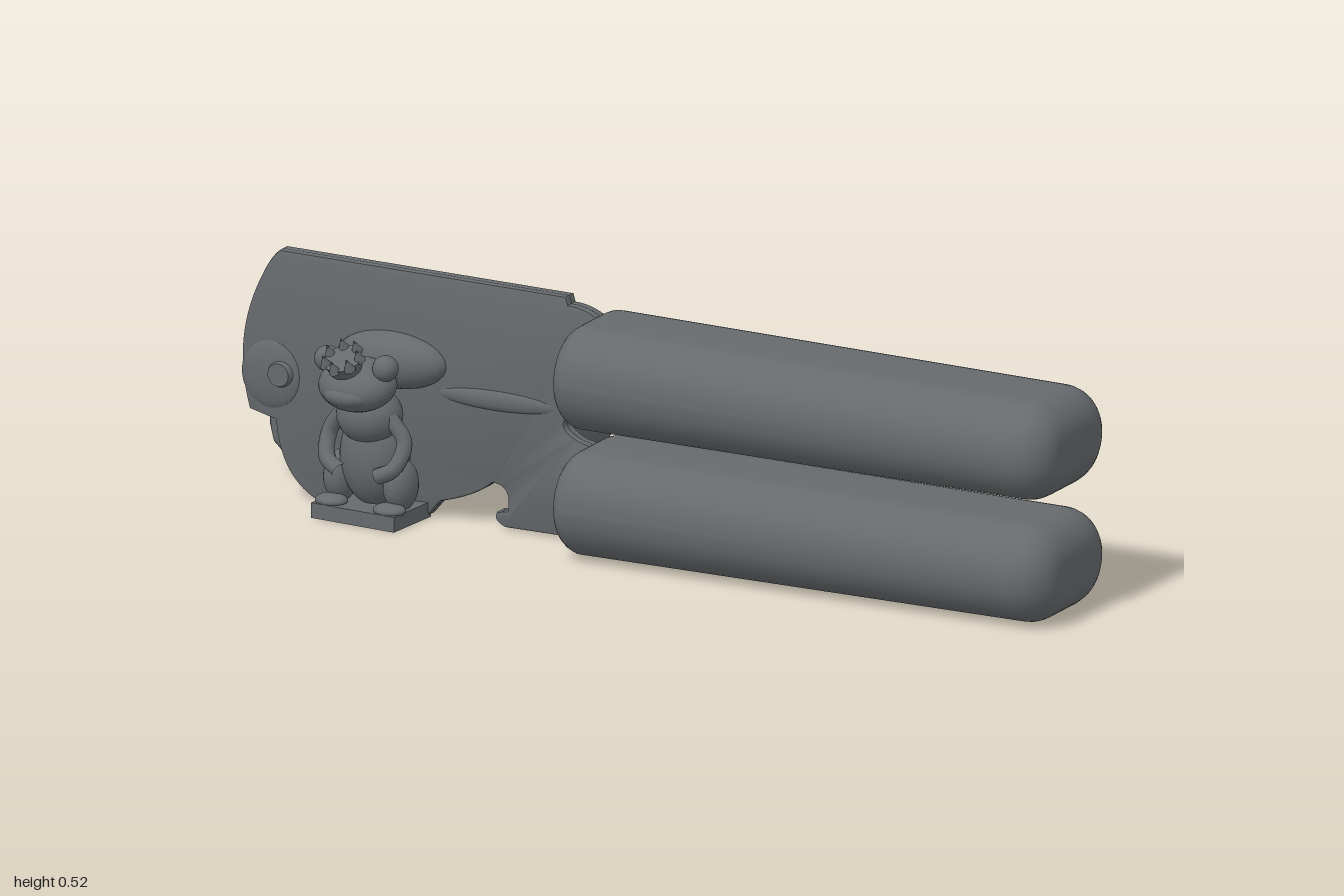
import * as THREE from 'three';
import { mergeVertices, toCreasedNormals } from 'three/addons/utils/BufferGeometryUtils.js';

const metal = new THREE.MeshStandardMaterial({ color: 0x666a6d });
metal.name = 'dark grey';

function add(parent, name, geometry, x = 0, y = 0, z = 0) {
  const mesh = new THREE.Mesh(geometry, metal);
  mesh.name = name;
  mesh.position.set(x, y, z);
  parent.add(mesh);
  return mesh;
}

function ellipsoid(parent, name, pos, radii) {
  const mesh = add(parent, name, new THREE.SphereGeometry(1, 28, 18), ...pos);
  mesh.scale.set(...radii);
  return mesh;
}

// Disc or pin whose axis runs along z, from z0 (back) to z1 (front)
function pin(parent, name, x, y, z0, z1, rBack, rFront) {
  const g = new THREE.CylinderGeometry(rFront, rBack, z1 - z0, 32).rotateX(Math.PI / 2);
  return add(parent, name, g, x, y, (z0 + z1) / 2);
}

// Loft along x through rounded rectangles {x, y, z, hy, hz, rf, rb}
function loft(sections) {
  const pos = [], idx = [], n = 9, count = 4 * n;
  for (const s of sections) {
    for (let q = 0; q < 4; q++) {
      const sz = q === 0 || q === 3 ? 1 : -1, sy = q < 2 ? 1 : -1;
      const r = Math.min(sz > 0 ? s.rf : s.rb, s.hy, s.hz);
      for (let i = 0; i < n; i++) {
        const a = (q + i / (n - 1)) * Math.PI / 2;
        pos.push(s.x, s.y + sy * (s.hy - r) + r * Math.sin(a), s.z + sz * (s.hz - r) + r * Math.cos(a));
      }
    }
  }
  const last = sections.length - 1, c0 = pos.length / 3;
  for (const s of [sections[0], sections[last]]) pos.push(s.x, s.y, s.z);
  for (let k = 0; k < count; k++) {
    const k1 = (k + 1) % count;
    for (let i = 0; i < last; i++) {
      const a = i * count + k, b = i * count + k1, c = a + count, d = b + count;
      idx.push(a, c, b, b, c, d);
    }
    idx.push(c0, k, k1, c0 + 1, last * count + k1, last * count + k);
  }
  let g = new THREE.BufferGeometry();
  g.setAttribute('position', new THREE.Float32BufferAttribute(pos, 3));
  g.setIndex(idx);
  g = mergeVertices(g, 1e-5);
  g.computeVertexNormals();
  return g;
}

// Padded grip with rounded ends and a slight taper
function gripGeometry(y0, y1) {
  const x0 = -0.145, x1 = 0.995, sections = [];
  const section = (x, inset) => {
    const t = (x - x0) / (x1 - x0), hy = 0.109 - 0.005 * t - inset, hz = 0.161 - inset;
    sections.push({ x, y: y0 + (y1 - y0) * t, z: 0, hy, hz, rf: 0.105, rb: 0.105 });
  };
  const steps = 8;
  for (let i = 0; i <= steps; i++) {
    const a = i / steps * Math.PI / 2;
    section(x0 + 0.045 * (1 - Math.cos(a)), 0.045 * (1 - Math.sin(a)));
  }
  for (let i = steps; i >= 0; i--) {
    const a = i / steps * Math.PI / 2;
    section(x1 - 0.075 * (1 - Math.cos(a)), 0.075 * (1 - Math.sin(a)));
  }
  return loft(sections);
}

function plate(parent, name, shape, z, depth) {
  const bevel = 0.004;
  const g = new THREE.ExtrudeGeometry(shape, {
    depth: depth - 2 * bevel, bevelSize: bevel, bevelOffset: -bevel, bevelThickness: bevel, bevelSegments: 2, curveSegments: 16
  });
  return add(parent, name, toCreasedNormals(g, 0.6), 0, 0, z + bevel);
}

export function createModel() {
  const model = new THREE.Group();
  model.name = 'canOpener';

  // Two grips, swung slightly backwards
  const grips = new THREE.Group();
  grips.name = 'grips';
  grips.position.z = 0.111;
  grips.rotation.y = 0.08;
  model.add(grips);
  add(grips, 'upperGrip', gripGeometry(0.383, 0.37));
  add(grips, 'lowerGrip', gripGeometry(0.118, 0.112));

  // Jaw plates
  const jaws = new THREE.Group();
  jaws.name = 'jaws';
  jaws.position.z = 0.07;
  jaws.rotation.y = 0.075;
  model.add(jaws);

  const outline = () => {
    const s = new THREE.Shape();
    s.moveTo(-0.86, 0.525);
    s.lineTo(-0.2, 0.517);
    s.lineTo(-0.195, 0.5);
    s.quadraticCurveTo(-0.15, 0.5, -0.11, 0.47);
    s.lineTo(-0.11, 0.3);
    s.lineTo(-0.15, 0.28);
    s.quadraticCurveTo(-0.25, 0.25, -0.17, 0.215);
    s.lineTo(-0.11, 0.2);
    s.lineTo(-0.11, 0.03);
    s.lineTo(-0.16, 0.01);
    s.lineTo(-0.34, 0.01);
    s.quadraticCurveTo(-0.37, 0.02, -0.36, 0.04);
    s.lineTo(-0.335, 0.045);
    s.quadraticCurveTo(-0.325, 0.1, -0.37, 0.1);
    s.quadraticCurveTo(-0.41, 0.065, -0.49, 0.045);
    s.lineTo(-0.52, 0.01);
    s.lineTo(-0.78, 0.01);
    s.quadraticCurveTo(-0.86, 0.05, -0.87, 0.165);
    s.lineTo(-0.93, 0.18);
    s.quadraticCurveTo(-0.975, 0.33, -0.9, 0.47);
    s.quadraticCurveTo(-0.88, 0.51, -0.86, 0.525);
    return s;
  };
  plate(jaws, 'frontPlate', outline(), -0.002, 0.02);

  // Rear layer has a rectangular recess
  const rear = outline();
  const recess = new THREE.Path();
  recess.moveTo(-0.7, 0.36);
  recess.lineTo(-0.7, 0.47);
  recess.lineTo(-0.5, 0.47);
  recess.lineTo(-0.5, 0.36);
  recess.closePath();
  rear.holes.push(recess);
  plate(jaws, 'rearPlate', rear, -0.018, 0.018);

  // Raised pressings, pivot rivet and toothed feed wheel
  ellipsoid(jaws, 'cutterBulge', [-0.6, 0.33, 0.015], [0.125, 0.06, 0.055]);
  ellipsoid(jaws, 'pressedRidge', [-0.36, 0.275, 0.014], [0.14, 0.022, 0.012]);
  pin(jaws, 'pivotFront', -0.855, 0.265, 0.01, 0.035, 0.034, 0.024);
  ellipsoid(jaws, 'pivotCollar', [-0.88, 0.26, 0.012], [0.07, 0.075, 0.018]);
  pin(jaws, 'pivotBack', -0.86, 0.265, -0.04, -0.01, 0.045, 0.055);

  const gear = new THREE.Shape();
  for (let i = 0; i < 48; i++) {
    const a = i / 48 * Math.PI * 2, r = i % 2 ? 0.112 : 0.125;
    gear[i ? 'lineTo' : 'moveTo'](-0.63 + r * Math.cos(a), 0.145 + r * Math.sin(a));
  }
  gear.closePath();
  plate(jaws, 'feedWheel', gear, -0.038, 0.025);

  // Turning key on its shaft
  pin(model, 'keyShaft', -0.63, 0.145, -0.06, 0.1, 0.1, 0.095);
  const keyProfile = [
    [-1, -0.2, 0.03], [-0.992, -0.225, 0.06], [-0.965, -0.25, 0.085], [-0.9, -0.28, 0.105],
    [-0.8, -0.312, 0.116], [-0.62, -0.332, 0.12], [-0.45, -0.312, 0.116], [-0.36, -0.285, 0.106],
    [-0.31, -0.265, 0.082], [-0.287, -0.24, 0.055], [-0.28, -0.2, 0.03]
  ];
  const keySections = keyProfile.map(([x, back, hy]) => {
    const front = -0.022 - 0.14 * (x + 0.7) ** 2;
    return { x, y: 0.145 + 0.12 * (x + 0.64), z: (front + back) / 2, hy, hz: (front - back) / 2, rf: 0.025, rb: 0.11 };
  });
  add(model, 'turningKey', loft(keySections));

  // Small seated frog ornament
  const frog = new THREE.Group();
  frog.name = 'frogOrnament';
  frog.position.x = -0.615;
  model.add(frog);
  add(frog, 'base', new THREE.BoxGeometry(0.2, 0.032, 0.14), 0, 0.022, 0.185);
  ellipsoid(frog, 'body', [0, 0.135, 0.17], [0.075, 0.105, 0.065]);
  ellipsoid(frog, 'chest', [0, 0.225, 0.19], [0.07, 0.06, 0.065]);
  ellipsoid(frog, 'head', [0, 0.3, 0.235], [0.085, 0.052, 0.07]).rotation.x = 0.3;
  ellipsoid(frog, 'mouth', [0, 0.285, 0.262], [0.06, 0.028, 0.048]);
  for (const s of [-1, 1]) {
    ellipsoid(frog, 'eye', [s * 0.07, 0.345, 0.24], [0.027, 0.027, 0.027]);
    ellipsoid(frog, 'thigh', [s * 0.072, 0.085, 0.185], [0.033, 0.055, 0.045]);
    ellipsoid(frog, 'foot', [s * 0.07, 0.042, 0.225], [0.035, 0.014, 0.03]);
    const arm = new THREE.CatmullRomCurve3([
      [0.055, 0.23, 0.2], [0.09, 0.18, 0.2], [0.08, 0.13, 0.225], [0.045, 0.11, 0.235]
    ].map(([x, y, z]) => new THREE.Vector3(s * x, y, z)));
    add(frog, 'arm', new THREE.TubeGeometry(arm, 20, 0.017, 10));
  }

  // Pointed crown, tipped forward
  const crown = new THREE.Group();
  crown.name = 'crown';
  crown.position.set(0, 0.355, 0.285);
  crown.rotation.x = 0.5;
  frog.add(crown);
  add(crown, 'crownBand', new THREE.CylinderGeometry(0.04, 0.034, 0.028, 24));
  for (let i = 0; i < 7; i++) {
    const a = i / 7 * Math.PI * 2;
    add(crown, 'crownPoint', new THREE.ConeGeometry(0.013, 0.03, 8), 0.036 * Math.sin(a), 0.024, 0.036 * Math.cos(a));
  }
  return model;
}
